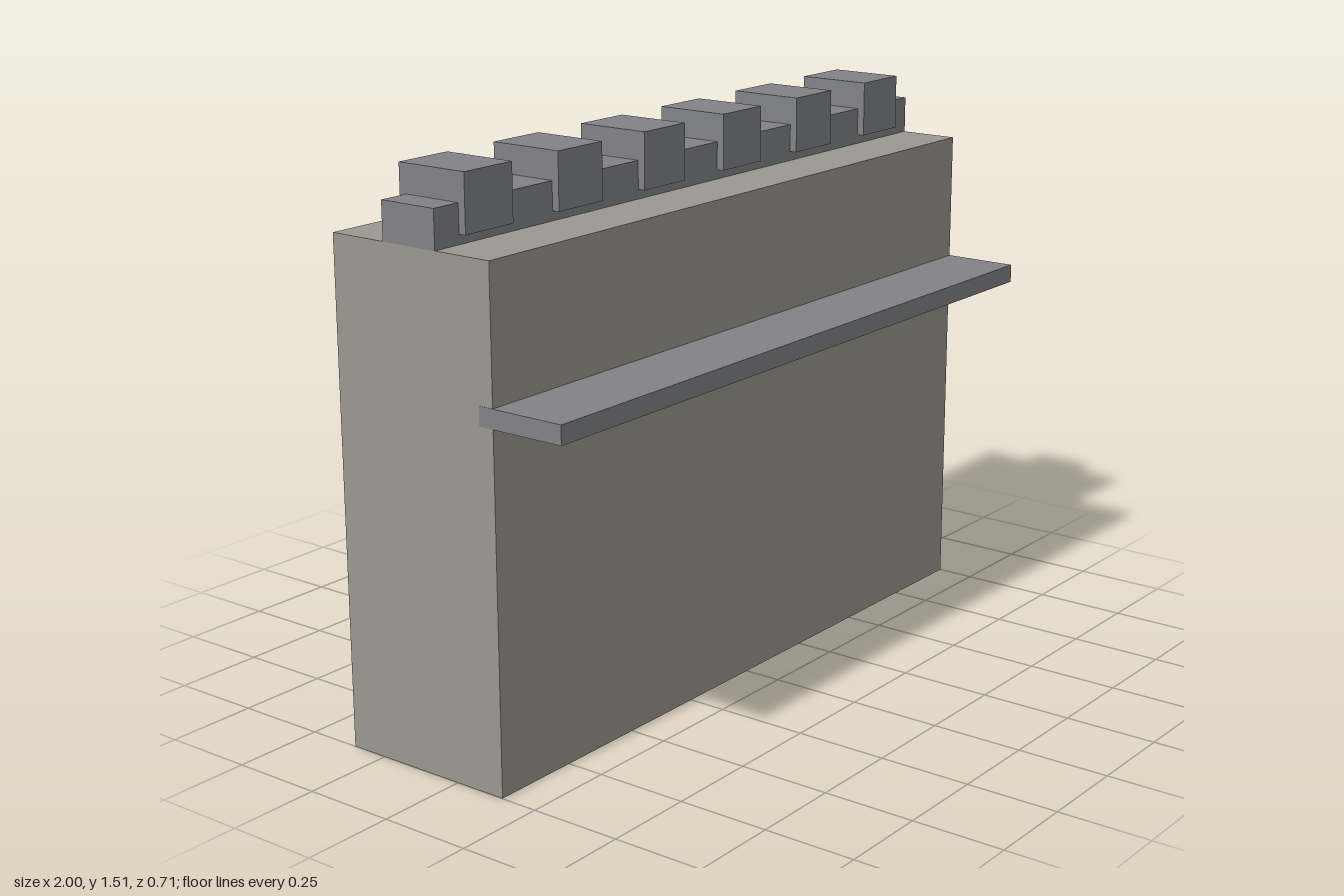
import * as THREE from 'three';

export function createModel() {
  const group = new THREE.Group();
  const stone = new THREE.MeshStandardMaterial({ color: 0x9a9890 });
  const trim = new THREE.MeshStandardMaterial({ color: 0x828387 });

  // Box placed by its centre in x and z and by its underside in y
  function addBox(name, material, [w, h, d], [x, y, z]) {
    const mesh = new THREE.Mesh(new THREE.BoxGeometry(w, h, d), material);
    mesh.name = name;
    mesh.position.set(x, y + h / 2, z);
    group.add(mesh);
  }

  // Main wall, a hair narrower so the ledge ends stay visible
  addBox('wall', stone, [1.998, 1.333, 0.5], [0, 0, -0.104]);

  // Walkway ledge, set slightly into the front face
  addBox('walkway', trim, [2, 0.05, 0.25], [0, 0.933, 0.229]);

  // Low parapet along the top
  addBox('parapet', trim, [2, 0.1, 0.167], [0, 1.333, -0.104]);

  // Six evenly spaced merlons straddling the parapet
  for (let i = 0; i < 6; i++) {
    addBox('merlon', trim, [0.167, 0.15, 0.208], [(i - 2.5) / 3, 1.358, -0.104]);
  }

  return group;
}
